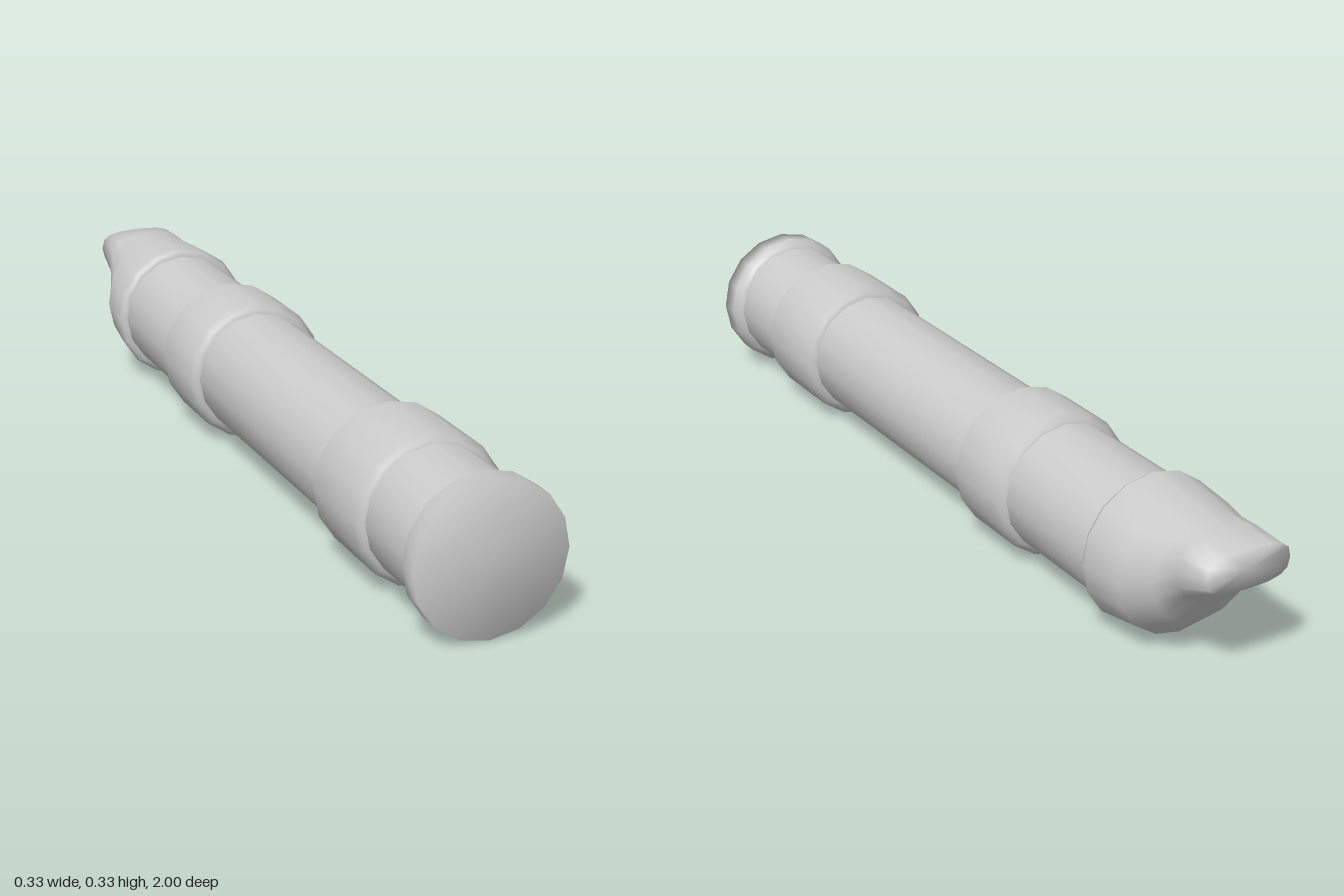
import * as THREE from 'three';

const SIDES = 16;
const AXIS_Y = 0.167;
const R = 0.167;       // collars and ends
const TUBE = 0.147;    // outer tube pieces
const CORE = 0.143;    // middle tube

// Round section: z and radius
const round = (z, r) => ({ z, w: r, low: AXIS_Y - r, high: AXIS_Y + r, p: 1 });

// Skins a run of sections ordered from +z to -z, with optional end caps
function loft(name, sections, material, capFront = false, capBack = false) {
  const pos = [];
  const index = [];
  const squash = (v, p) => Math.sign(v) * Math.pow(Math.abs(v), p);
  for (const { z, w, low, high, p } of sections) {
    for (let j = 0; j < SIDES; j++) {
      const t = (j / SIDES) * Math.PI * 2;
      pos.push(
        w * squash(Math.cos(t), p),
        (low + high) / 2 + ((high - low) / 2) * squash(Math.sin(t), p),
        z
      );
    }
  }
  for (let i = 0; i < sections.length - 1; i++) {
    for (let j = 0; j < SIDES; j++) {
      const k = (j + 1) % SIDES;
      const a = i * SIDES + j, b = i * SIDES + k;
      const c = a + SIDES, d = b + SIDES;
      index.push(a, c, b, b, c, d);
    }
  }
  const cap = (s, base, flip) => {
    const center = pos.length / 3;
    pos.push(0, (s.low + s.high) / 2, s.z);
    for (let j = 0; j < SIDES; j++) {
      const a = base + j, b = base + ((j + 1) % SIDES);
      index.push(center, flip ? b : a, flip ? a : b);
    }
  };
  const last = sections.length - 1;
  if (capFront) cap(sections[0], 0, false);
  if (capBack) cap(sections[last], last * SIDES, true);

  const geometry = new THREE.BufferGeometry();
  geometry.setAttribute('position', new THREE.Float32BufferAttribute(pos, 3));
  geometry.setIndex(index);
  geometry.computeVertexNormals();
  const mesh = new THREE.Mesh(geometry, material);
  mesh.name = name;
  return mesh;
}

export function createModel() {
  const group = new THREE.Group();
  group.name = 'whistle';
  const material = new THREE.MeshStandardMaterial({ color: 0xcccccc, side: THREE.DoubleSide });

  // Tube pieces between the collars
  const tube = (name, front, back, r) =>
    group.add(loft(name, [round(front, r), round(back, r)], material));
  tube('footTube', 0.94, 0.74, TUBE);
  tube('middleTube', 0.54, -0.18, CORE);
  tube('headTube', -0.35, -0.68, TUBE);

  // Bevelled collars
  const collar = (name, front, back) =>
    group.add(loft(name, [
      round(front, CORE), round(front - 0.004, 0.155), round(front - 0.016, R),
      round(back + 0.016, R), round(back + 0.004, 0.155), round(back, CORE),
    ], material));
  collar('frontCollar', 0.75, 0.527);
  collar('rearCollar', -0.167, -0.362);

  // Closed foot end
  group.add(loft('footCap', [
    round(1, R), round(0.952, R), round(0.936, 0.155), round(0.932, TUBE),
  ], material, true));

  // Mouthpiece, cut away underneath into a flat beak
  group.add(loft('mouthpiece', [
    round(-0.668, TUBE),
    round(-0.671, 0.16),
    round(-0.682, R),
    { z: -0.79, w: 0.155, low: 0.019, high: 0.326, p: 1 },
    { z: -0.86, w: 0.125, low: 0.08, high: 0.319, p: 0.95 },
    { z: -0.915, w: 0.107, low: 0.166, high: 0.313, p: 0.8 },
    { z: -1, w: 0.1, low: 0.216, high: 0.303, p: 0.7 },
  ], material, false, true));

  return group;
}
